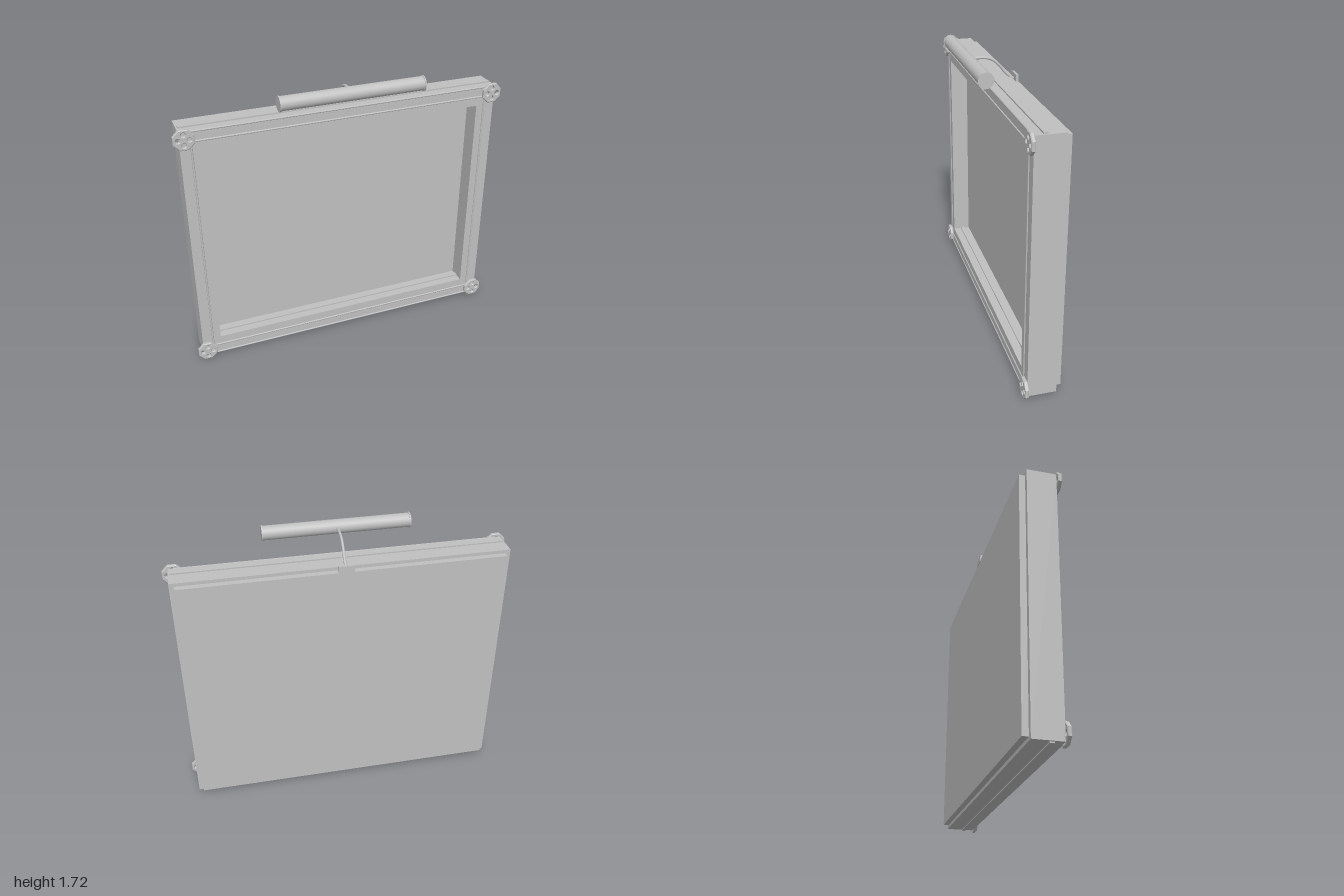
import * as THREE from 'three';

const material = new THREE.MeshStandardMaterial({ color: 0xc0c0c0 });
material.name = 'plain grey';

const MID_Y = 0.79; // centre height of the frame

function rectPath(path, w, h) {
  path.moveTo(-w, -h);
  path.lineTo(w, -h);
  path.lineTo(w, h);
  path.lineTo(-w, h);
  path.closePath();
  return path;
}

export function createModel() {
  const model = new THREE.Group();
  model.name = 'litPictureFrame';

  function add(parent, name, geometry, x = 0, y = 0, z = 0) {
    const mesh = new THREE.Mesh(geometry, material);
    mesh.name = name;
    mesh.position.set(x, y, z);
    parent.add(mesh);
    return mesh;
  }

  // Deep outer frame with its rectangular opening
  const frameShape = rectPath(new THREE.Shape(), 0.965, 0.77);
  frameShape.holes.push(rectPath(new THREE.Path(), 0.85, 0.65));
  add(model, 'frame', new THREE.ExtrudeGeometry(frameShape, { depth: 0.17, bevelEnabled: false }), 0, MID_Y, -0.135);

  // Picture panel, recessed in front and standing proud behind
  add(model, 'picturePanel', new THREE.BoxGeometry(1.87, 1.5, 0.095), 0, MID_Y, -0.1225);

  // Flat tongues running through the top and bottom rails
  for (const side of [-1, 1]) {
    add(model, 'railTongue', new THREE.BoxGeometry(1.91, 0.137, 0.024), 0, MID_Y + side * 0.71, -0.028);
  }

  // Slim beads on the front face
  const bead = (length) => new THREE.CylinderGeometry(0.006, 0.006, length, 8);
  for (const side of [-1, 1]) {
    add(model, 'uprightBead', bead(1.42), side * 0.9, MID_Y, 0.035);
    add(model, 'innerRailBead', bead(1.8), 0, MID_Y + side * 0.706, 0.035).rotation.z = Math.PI / 2;
    add(model, 'outerRailBead', bead(1.86), 0, MID_Y + side * 0.765, 0.034).rotation.z = Math.PI / 2;
  }

  // Pierced eight-sided corner rosettes
  const rosetteShape = new THREE.Shape();
  for (let i = 0; i < 8; i++) {
    const a = (i + 0.5) * Math.PI / 4;
    const x = Math.cos(a) * 0.064, y = Math.sin(a) * 0.064;
    if (i) rosetteShape.lineTo(x, y); else rosetteShape.moveTo(x, y);
  }
  rosetteShape.closePath();
  for (let i = 0; i < 4; i++) {
    const a = i * Math.PI / 2;
    const hole = new THREE.Path();
    hole.absarc(Math.cos(a) * 0.032, Math.sin(a) * 0.032, 0.013, 0, Math.PI * 2, true);
    rosetteShape.holes.push(hole);
  }
  const rosetteGeometry = new THREE.ExtrudeGeometry(rosetteShape, {
    depth: 0.014, bevelThickness: 0.004, bevelSize: 0.004, bevelOffset: -0.004, bevelSegments: 1, curveSegments: 4,
  });
  for (const sx of [-1, 1]) {
    for (const sy of [-1, 1]) {
      add(model, 'cornerRosette', rosetteGeometry, sx * 0.94, MID_Y + sy * 0.727, 0.038);
    }
  }

  // Lamp: bracket, curved arm, tube and end caps
  const lamp = new THREE.Group();
  lamp.name = 'pictureLamp';
  model.add(lamp);
  add(lamp, 'lampBracket', new THREE.BoxGeometry(0.09, 0.046, 0.016), 0, 1.557, -0.164);

  const armCurve = new THREE.CatmullRomCurve3([
    [1.545, -0.158], [1.58, -0.11], [1.636, -0.064], [1.672, -0.018], [1.682, 0.025], [1.682, 0.095],
  ].map(([y, z]) => new THREE.Vector3(0, y, z)));
  add(lamp, 'lampArm', new THREE.TubeGeometry(armCurve, 28, 0.008, 10));

  add(lamp, 'lampTube', new THREE.CylinderGeometry(0.041, 0.041, 0.85, 32), 0, 1.677, 0.125).rotation.z = Math.PI / 2;
  for (const side of [-1, 1]) {
    add(lamp, 'lampEndCap', new THREE.CylinderGeometry(0.045, 0.045, 0.008, 32), side * 0.427, 1.677, 0.125).rotation.z = Math.PI / 2;
  }

  return model;
}
